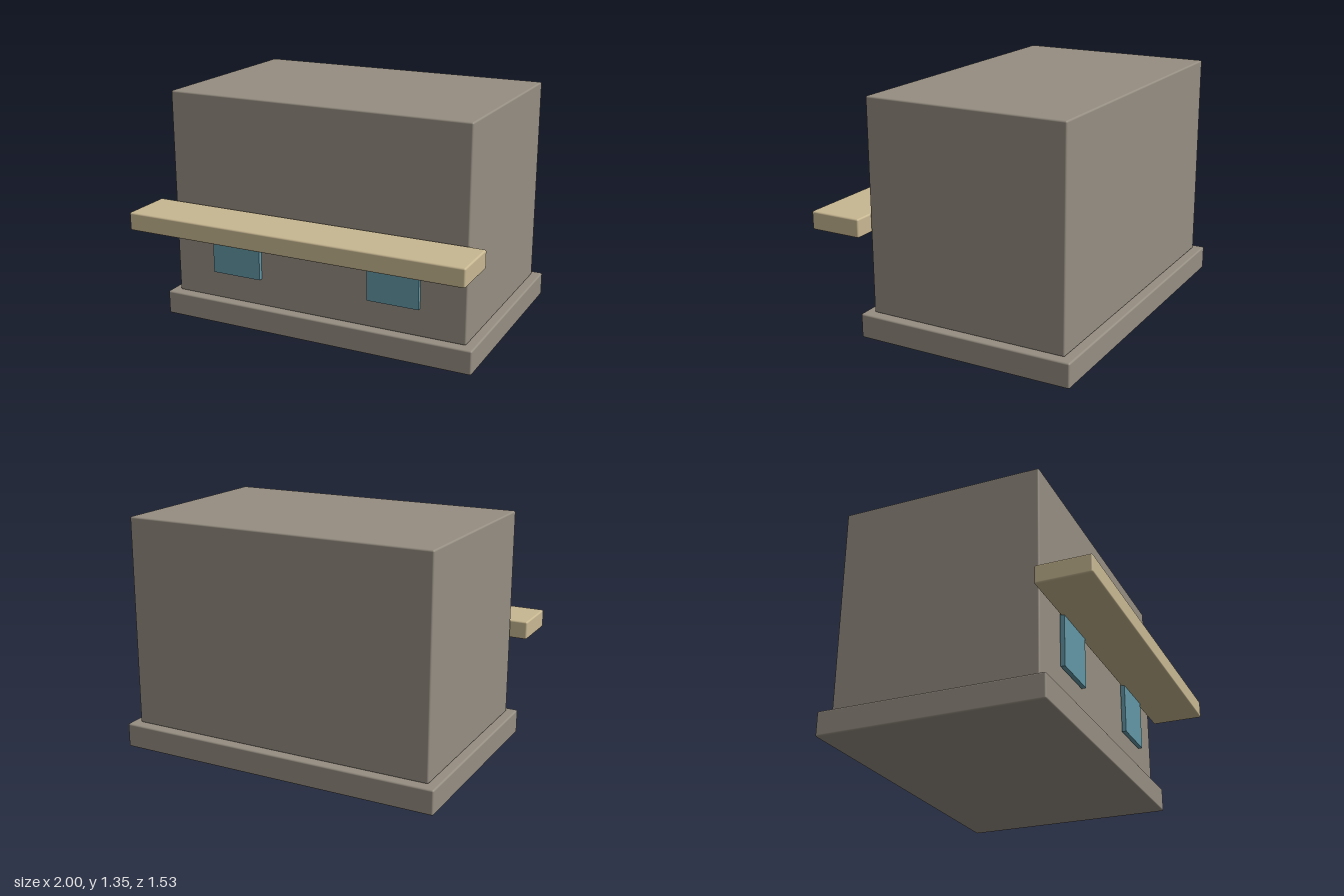
import * as THREE from 'three';
import { RoundedBoxGeometry } from 'three/addons/geometries/RoundedBoxGeometry.js';

export function createModel() {
  const model = new THREE.Group();
  model.name = 'building';

  const material = (name, color) => {
    const m = new THREE.MeshStandardMaterial({ color });
    m.name = name;
    return m;
  };
  const stone = material('stone grey', 0x968e82);
  const timber = material('pale timber', 0xc8b892);
  const glass = material('blue glass', 0x6297a5);

  // Box given by its limits on each axis; bevel 0 leaves sharp edges
  const addBox = (name, mat, [x0, x1], [y0, y1], [z0, z1], bevel = 0.01) => {
    const size = [x1 - x0, y1 - y0, z1 - z0];
    const geometry = bevel
      ? new RoundedBoxGeometry(...size, 2, bevel)
      : new THREE.BoxGeometry(...size);
    const mesh = new THREE.Mesh(geometry, mat);
    mesh.name = name;
    mesh.position.set((x0 + x1) / 2, (y0 + y1) / 2, (z0 + z1) / 2);
    model.add(mesh);
  };

  // Plinth and main block
  addBox('foundation', stone, [-0.955, 0.955], [0, 0.14], [-0.767, 0.503]);
  addBox('mainBlock', stone, [-0.903, 0.903], [0.14, 1.345], [-0.713, 0.45]);

  // Awning slab across the front
  addBox('awning', timber, [-1, 1], [0.595, 0.7], [0.46, 0.767]);

  // Window panes tucked under the awning
  addBox('rightWindow', glass, [-0.64, -0.335], [0.306, 0.67], [0.455, 0.48], 0);
  addBox('leftWindow', glass, [0.335, 0.64], [0.306, 0.67], [0.455, 0.48], 0);

  return model;
}
